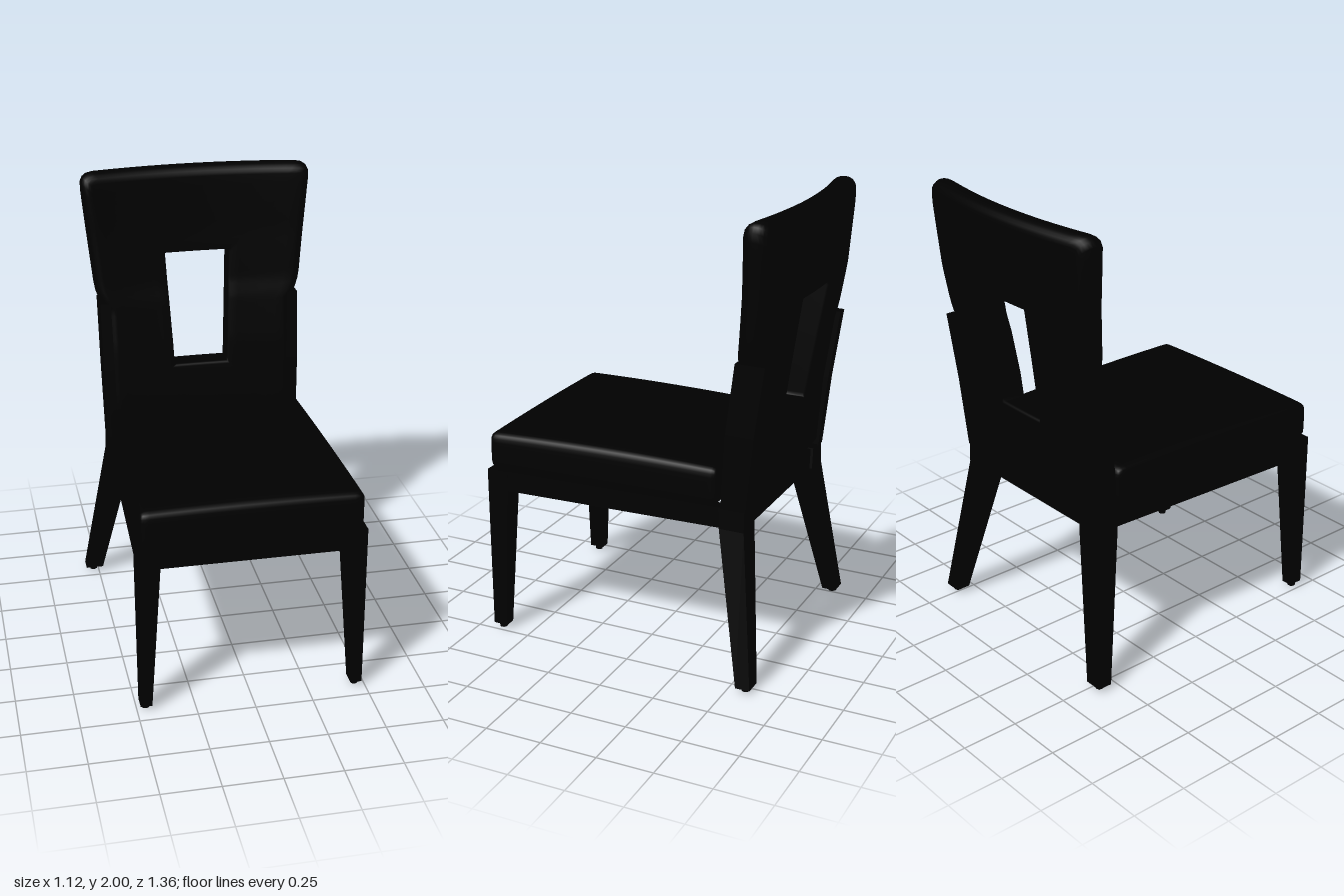
import * as THREE from 'three';
import { mergeVertices } from 'three/addons/utils/BufferGeometryUtils.js';

const wood = new THREE.MeshStandardMaterial({ color: 0x000000, flatShading: true });
const fabric = new THREE.MeshStandardMaterial({ color: 0x000000 });

// Linear interpolation through [position, value] pairs
function along(pairs, t) {
  let i = 1;
  while (i < pairs.length - 1 && t > pairs[i][0]) i++;
  const [a, va] = pairs[i - 1], [b, vb] = pairs[i];
  return va + (vb - va) * THREE.MathUtils.clamp((t - a) / (b - a), 0, 1);
}

function indexed(positions, indices) {
  const geo = new THREE.BufferGeometry();
  geo.setAttribute('position', new THREE.Float32BufferAttribute(positions, 3));
  geo.setIndex(indices);
  geo.computeVertexNormals();
  return geo;
}

// Square-section timber through [y, xInner, xOuter, zBack, zFront] sections, bottom to top
function timber(sections, side) {
  const pos = [], idx = [];
  for (const [y, xi, xo, zb, zf] of sections) {
    const x0 = side > 0 ? xi : -xo, x1 = side > 0 ? xo : -xi;
    pos.push(x0, y, zf, x1, y, zf, x1, y, zb, x0, y, zb);
  }
  const last = (sections.length - 1) * 4;
  for (let k = 0; k < last; k += 4) {
    for (let i = 0; i < 4; i++) {
      const a = k + i, b = k + (i + 1) % 4;
      idx.push(a, b, b + 4, a, b + 4, a + 4);
    }
  }
  idx.push(0, 2, 1, 0, 3, 2, last, last + 1, last + 2, last, last + 2, last + 3);
  return indexed(pos, idx);
}

// Tapered frame of rails under the seat
function apronGeometry() {
  const outer = [[-0.485, -0.68], [0.485, -0.68], [0.44, 0.41], [0.44, 0.51], [-0.44, 0.51], [-0.44, 0.41]];
  const inner = [[-0.43, -0.62], [-0.385, 0.44], [0.385, 0.44], [0.43, -0.62]];
  const shape = new THREE.Shape(outer.map(p => new THREE.Vector2(...p)));
  shape.holes.push(new THREE.Path(inner.map(p => new THREE.Vector2(...p))));
  return new THREE.ExtrudeGeometry(shape, { depth: 0.09, bevelEnabled: false })
    .rotateX(-Math.PI / 2).translate(0, 0.68, 0);
}

// Crowned, tapered cushion: a box with rounded edges, bent by rule
function seatGeometry() {
  const half = new THREE.Vector3(0.475, 0.0825, 0.5375), r = 0.035;
  let geo = new THREE.BoxGeometry(2, 2, 2, 28, 12, 28);
  geo.deleteAttribute('uv');
  geo.deleteAttribute('normal');
  geo = mergeVertices(geo);
  const p = geo.attributes.position, v = new THREE.Vector3(), core = new THREE.Vector3();
  const inner = half.clone().subScalar(r), low = inner.clone().negate();
  const ease = t => Math.sin(t * Math.PI / 2);
  for (let i = 0; i < p.count; i++) {
    v.fromBufferAttribute(p, i);
    v.set(ease(v.x), ease(v.y), ease(v.z)).multiply(half);
    core.copy(v).clamp(low, inner);
    v.sub(core);
    if (v.lengthSq() > 0) v.setLength(r);
    v.add(core);
    const nx = v.x / half.x, nz = v.z / half.z, up = (v.y + half.y) / (2 * half.y);
    const crown = 0.033 * up * (1 - 0.7 * nx * nx) * (1 - 0.8 * nz * nz);
    p.setXYZ(i, v.x * (0.96 + 0.04 * nz), v.y + 0.85 + crown, v.z + 0.1425);
  }
  geo.computeVertexNormals();
  return geo;
}

// Bowed, padded backrest: a closed ring between the outline and the window
function backrestGeometry() {
  const yLow = 0.775, yHigh = 2, R = 0.045, hr = 0.012, n = 32;
  const width = [[0.77, 0.425], [1.39, 0.43], [1.43, 0.462], [1.48, 0.476], [1.6, 0.488], [1.8, 0.508], [2, 0.527]];
  const front = [[0.77, -0.41], [0.95, -0.41], [1.2, -0.428], [1.4, -0.457], [1.48, -0.475], [1.7, -0.498], [2, -0.517]];
  const back = [[0.77, -0.528], [1.1, -0.56], [1.4, -0.61], [1.63, -0.65], [1.9, -0.675], [2, -0.678]];

  const outline = (a, b, e) => {
    const y = yLow + e + b * (yHigh - yLow - 2 * e), w = along(width, y) - e;
    const p = new THREE.Vector2(a * w, y), r = 0.06 - e;
    const cx = w - r, cy = yHigh - e - r;
    if (Math.abs(p.x) > cx && p.y > cy) {
      const c = new THREE.Vector2(Math.sign(p.x) * cx, cy);
      p.sub(c).clampLength(0, r).add(c);
    }
    return p;
  };
  const window = (a, b, g) => {
    const y = 1.1 - g + b * (0.515 + 2 * g);
    return new THREE.Vector2(a * (along([[1.1, 0.122], [1.615, 0.148]], y) + g), y);
  };

  // Section of the ring: share of the way outward, outer inset, inner growth, depth
  const section = [];
  for (let i = 0; i <= 8; i++) section.push([i / 8, R, hr, 1]);
  for (let i = 1; i < 12; i++) {
    const t = Math.PI / 2 - i * Math.PI / 12;
    section.push([1, R * (1 - Math.cos(t)), hr, Math.sin(t)]);
  }
  for (let i = 8; i >= 0; i--) section.push([i / 8, R, hr, -1]);
  for (const [g, s] of [[0.004, -0.94], [0, -0.8], [0, 0.8], [0.004, 0.94]]) section.push([0, R, g, s]);

  const pos = [], idx = [], m = section.length, count = 4 * n;
  for (let u = 0; u < count; u++) {
    const t = (u % n) / n;
    const [a, b] = [[2 * t - 1, 0], [1, t], [1 - 2 * t, 1], [-1, 1 - t]][Math.floor(u / n)];
    section.forEach(([k, e, g, s], v) => {
      const p = window(a, b, g).lerp(outline(a, b, e), k);
      const bow = along([[0.77, 0.02], [2, 0.05]], p.y);
      const rear = along(back, p.y), thick = along(front, p.y) - rear - bow;
      pos.push(p.x, p.y, rear + thick * (1 + s) / 2 + bow * (p.x / 0.5) ** 2);
      const u1 = (u + 1) % count, v1 = (v + 1) % m;
      const c = u * m + v, d = u * m + v1, f = u1 * m + v, h = u1 * m + v1;
      idx.push(c, d, f, d, h, f);
    });
  }
  return indexed(pos, idx);
}

export function createModel() {
  const model = new THREE.Group();
  const add = (name, geo, mat) => {
    const mesh = new THREE.Mesh(geo, mat);
    mesh.name = name;
    model.add(mesh);
    return mesh;
  };

  add('apron', apronGeometry(), wood);
  add('seatCushion', seatGeometry(), fabric);
  add('backrest', backrestGeometry(), fabric);

  for (const side of [1, -1]) {
    const label = side > 0 ? 'left' : 'right';
    add(label + 'FrontLeg', timber([
      [0.02, 0.435, 0.485, 0.613, 0.68], [0.68, 0.39, 0.486, 0.583, 0.681], [0.77, 0.39, 0.486, 0.583, 0.681],
    ], side), wood);
    add(label + 'BackLeg', timber([
      [0.02, 0.48, 0.56, -0.605, -0.54], [0.68, 0.335, 0.45, -0.522, -0.41], [0.775, 0.345, 0.447, -0.522, -0.405],
    ], side), wood);
    add(label + 'BackPost', timber([
      [0.77, 0.40, 0.448, -0.525, -0.415], [1.1, 0.405, 0.455, -0.56, -0.435], [1.41, 0.41, 0.458, -0.605, -0.475],
    ], side), wood);
    // Small glides under the feet
    for (const [end, x, z] of [['Front', 0.46, 0.647], ['Back', 0.523, -0.573]]) {
      add(label + end + 'Glide', new THREE.CylinderGeometry(0.017, 0.017, 0.03, 12), wood)
        .position.set(side * x, 0.015, z);
    }
  }
  return model;
}
